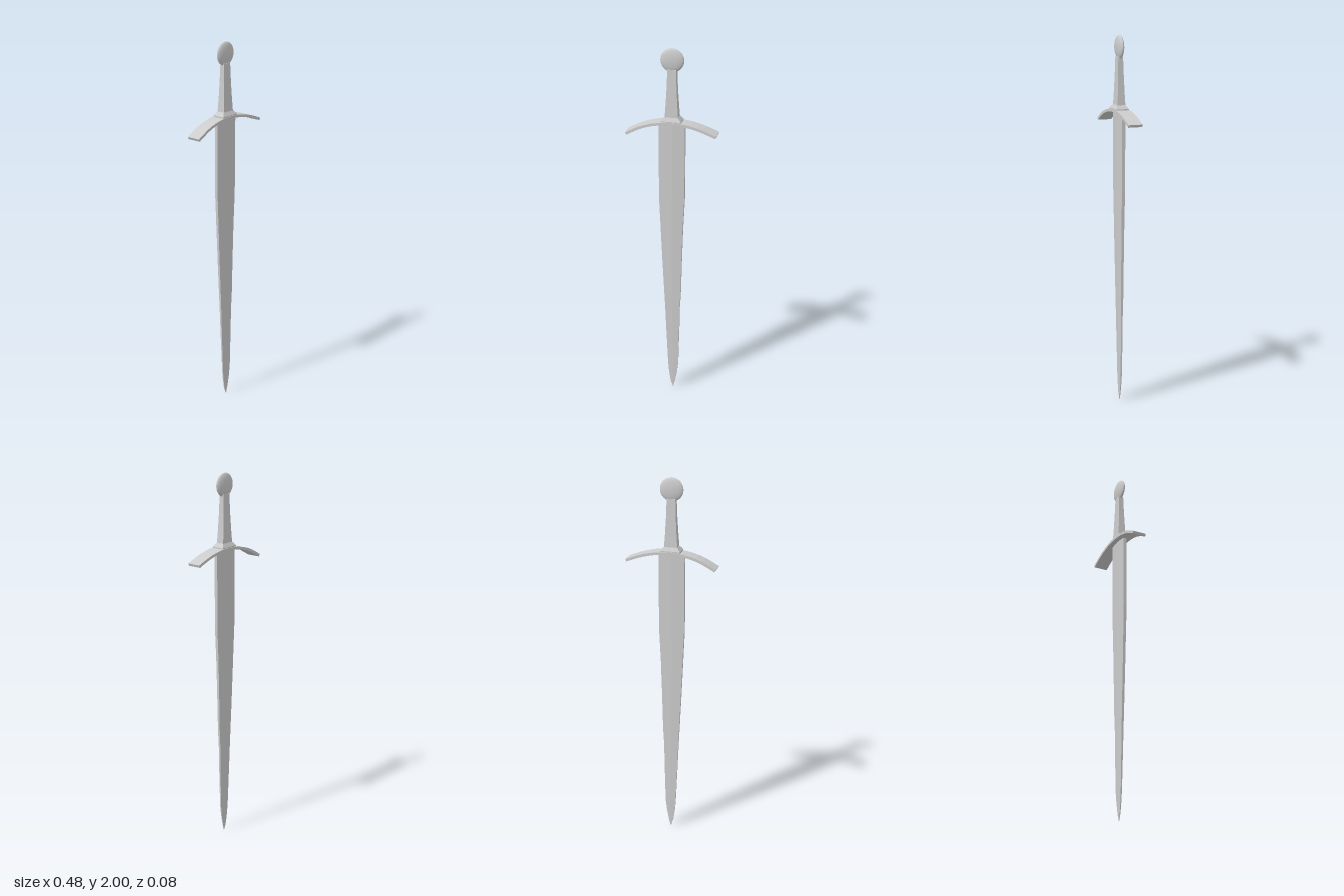
import * as THREE from 'three';

const flat = new THREE.MeshStandardMaterial({ color: 0xcccccc, flatShading: true });
const smooth = new THREE.MeshStandardMaterial({ color: 0xcccccc });

// Closed skin through rings listed from bottom to top; ring points run from +x towards +z
function loft(rings) {
  const n = rings[0].length;
  const index = [];
  for (let r = 0; r < rings.length - 1; r++) {
    for (let i = 0; i < n; i++) {
      const a = r * n + i, a1 = r * n + (i + 1) % n;
      index.push(a, a + n, a1, a1, a + n, a1 + n);
    }
  }
  const top = (rings.length - 1) * n;
  for (let i = 1; i < n - 1; i++) index.push(0, i, i + 1, top, top + i + 1, top + i);
  const geometry = new THREE.BufferGeometry();
  geometry.setAttribute('position', new THREE.Float32BufferAttribute(rings.flat(2), 3));
  geometry.setIndex(index);
  geometry.computeVertexNormals();
  return geometry;
}

const rectangle = ([y, x, z]) => [[x, y, -z], [x, y, z], [-x, y, z], [-x, y, -z]];

// Blade section: shallow central ridge on each face, narrow blunt edges
function bladeRing([y, left, right, ridge]) {
  const edge = ridge * 0.72, mid = (left + right) / 2;
  return [[right, y, -edge], [right, y, edge], [mid, y, ridge],
    [left, y, edge], [left, y, -edge], [mid, y, -ridge]];
}

// Drooping band, slightly lower on one side
function guardGeometry() {
  const curve = new THREE.CatmullRomCurve3([
    [-0.24, 1.535], [-0.16, 1.577], [-0.08, 1.6], [0, 1.608],
    [0.08, 1.603], [0.16, 1.584], [0.237, 1.555],
  ].map(([x, y]) => new THREE.Vector3(x, y, 0)));
  const upper = [], lower = [], steps = 14, half = 0.007;
  for (let i = 0; i <= steps; i++) {
    const p = curve.getPoint(i / steps), t = curve.getTangent(i / steps);
    upper.push(new THREE.Vector2(p.x - t.y * half, p.y + t.x * half));
    lower.unshift(new THREE.Vector2(p.x + t.y * half, p.y - t.x * half));
  }
  const geometry = new THREE.ExtrudeGeometry(new THREE.Shape([...upper, ...lower]),
    { depth: 0.076, bevelEnabled: false });
  return geometry.translate(0, 0, -0.039);
}

export function createModel() {
  const group = new THREE.Group();
  const add = (name, geometry, material = flat) => {
    const mesh = new THREE.Mesh(geometry, material);
    mesh.name = name;
    group.add(mesh);
    return mesh;
  };

  // height, left edge, right edge, half thickness at the ridge
  add('blade', loft([
    [0, 0.004, 0.006, 0.001],
    [0.04, -0.009, 0.016, 0.003],
    [0.1, -0.018, 0.027, 0.004],
    [0.16, -0.023, 0.034, 0.005],
    [0.4, -0.034, 0.04, 0.007],
    [0.5, -0.038, 0.041, 0.008],
    [0.6, -0.043, 0.047, 0.009],
    [0.8, -0.053, 0.052, 0.01],
    [1.0, -0.062, 0.058, 0.011],
    [1.18, -0.07, 0.067, 0.012],
    [1.605, -0.071, 0.069, 0.013],
  ].map(bladeRing)));

  add('crossguard', guardGeometry());

  add('collar', loft([
    [1.6, 0.053, 0.034], [1.619, 0.053, 0.034], [1.638, 0.037, 0.023],
  ].map(rectangle)));

  add('grip', loft([
    [1.63, 0.036, 0.022], [1.7, 0.031, 0.019], [1.79, 0.026, 0.016], [1.89, 0.023, 0.013],
  ].map(rectangle)));

  // Two domes meeting at a crisp rim
  const profile = [];
  for (let i = 0; i <= 12; i++) {
    const a = (i / 12) * Math.PI / 2;
    profile.push(new THREE.Vector2(0.062 * Math.cos(a), 0.0165 * Math.sin(a)));
  }
  for (const side of [1, -1]) {
    const dome = add(side > 0 ? 'pommelFront' : 'pommelBack',
      new THREE.LatheGeometry(profile, 36), smooth);
    dome.rotation.x = side * Math.PI / 2;
    dome.position.y = 1.938;
  }
  return group;
}
